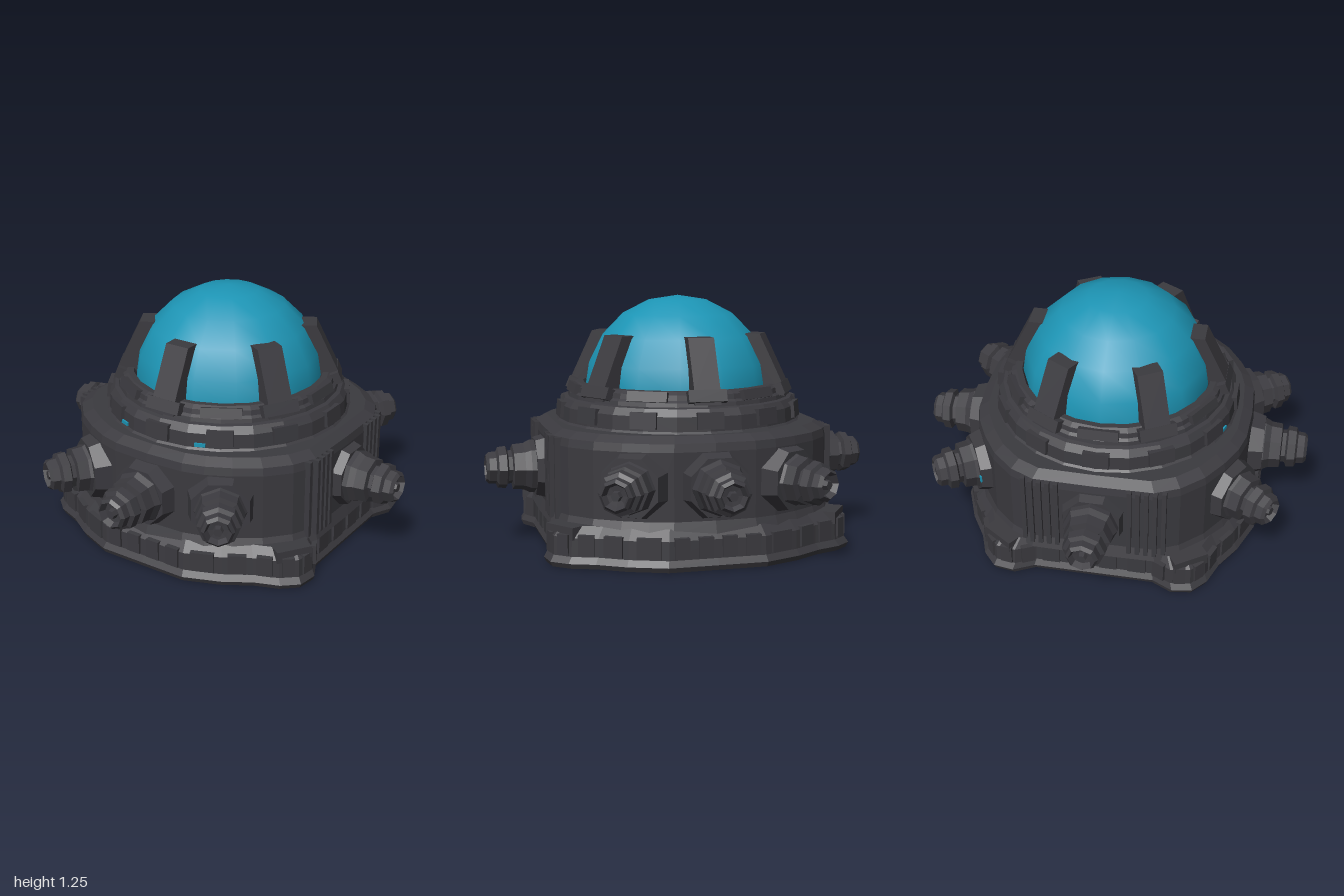
import * as THREE from 'three';

const dark = new THREE.MeshStandardMaterial({ color: 0x3b3a3f, flatShading: true });
dark.name = 'dark metal';
const glass = new THREE.MeshStandardMaterial({ color: 0x1d95b5 });
glass.name = 'blue glass';

function add(parent, name, geometry, material = dark) {
  const mesh = new THREE.Mesh(geometry, material);
  mesh.name = name;
  parent.add(mesh);
  return mesh;
}

// Spoke: a group whose local +x points outward at the given angle (from +x toward +z)
function spoke(parent, name, degrees) {
  const g = new THREE.Group();
  g.name = name;
  g.rotation.y = -THREE.MathUtils.degToRad(degrees);
  parent.add(g);
  return g;
}

function box(parent, name, size, pos, tilt = 0, material = dark) {
  const mesh = add(parent, name, new THREE.BoxGeometry(...size), material);
  mesh.position.set(...pos);
  mesh.rotation.z = tilt;
  return mesh;
}

const lathe = (points, sides) =>
  new THREE.LatheGeometry(points.map(([r, y]) => new THREE.Vector2(r, y)), sides);

// Mirror a quadrant outline (from the x axis to the z axis) into a closed loop
function mirrorOutline(q) {
  const back = q.slice(0, -1).reverse().map(([x, z]) => [-x, z]);
  const half = [...q, ...back];
  return [...half, ...half.slice(1, -1).reverse().map(([x, z]) => [x, -z])];
}

// Stack scaled copies of an outline, with end caps
function loft(outline, levels) {
  const n = outline.length, pos = [], idx = [];
  for (const [y, s] of levels) for (const [x, z] of outline) pos.push(x * s, y, z * s);
  const bottom = pos.length / 3, top = bottom + 1, last = (levels.length - 1) * n;
  pos.push(0, levels[0][0], 0, 0, levels[levels.length - 1][0], 0);
  for (let i = 0; i < n; i++) {
    const j = (i + 1) % n;
    for (let k = 0; k < last; k += n) idx.push(k + i, k + n + i, k + j, k + j, k + n + i, k + n + j);
    idx.push(bottom, i, j, top, last + j, last + i);
  }
  const g = new THREE.BufferGeometry();
  g.setAttribute('position', new THREE.Float32BufferAttribute(pos, 3));
  g.setIndex(idx);
  g.computeVertexNormals();
  return g;
}

const baseOutline = mirrorOutline([[0.71, 0], [0.71, 0.3], [0.76, 0.4], [0.745, 0.5],
  [0.67, 0.565], [0.55, 0.61], [0.42, 0.69], [0.24, 0.76], [0, 0.76]]);
const bodyOutline = mirrorOutline([[0.71, 0], [0.705, 0.3], [0.65, 0.42], [0.55, 0.53],
  [0.43, 0.61], [0.31, 0.67], [0.2, 0.7], [0, 0.71]]);

function buildBase(root) {
  add(root, 'base', loft(baseOutline, [[0.005, 1], [0.03, 1.015], [0.06, 0.99], [0.15, 0.985], [0.2, 0.93]]));
  // Raised blocks along every edge of the base
  baseOutline.forEach(([x, z], i) => {
    const [x2, z2] = baseOutline[(i + 1) % baseOutline.length];
    const len = Math.hypot(x2 - x, z2 - z), angle = -Math.atan2(z2 - z, x2 - x);
    const count = len > 0.2 ? 2 : 1;
    for (let k = 0; k < count; k++) {
      const t = (k + 0.5) / count;
      const block = box(root, 'baseBlock', [len * 0.6 / count, 0.1, 0.05],
        [(x + (x2 - x) * t) * 0.97, 0.115, (z + (z2 - z) * t) * 0.97]);
      block.rotation.y = angle;
    }
  });
  // Corner feet caps
  for (const sx of [1, -1]) for (const sz of [1, -1]) {
    const cap = box(root, 'cornerCap', [0.12, 0.06, 0.18], [sx * 0.66, 0.17, sz * 0.46]);
    cap.rotation.y = sx * sz * -0.6;
  }
}

function buildBody(root) {
  add(root, 'body', loft(bodyOutline, [[0.17, 1.03], [0.23, 1], [0.56, 1], [0.6, 0.99], [0.63, 0.92]]));
  // Vertical cooling ribs on both flanks
  for (const sx of [1, -1]) for (const sz of [1, -1]) for (let i = 0; i < 5; i++)
    box(root, 'coolingRib', [0.06, 0.4, 0.022], [sx * (0.695 - (i > 3 ? 0.02 : 0)), 0.4, sz * (0.18 + i * 0.042)]);
}

function buildNozzles(root) {
  const profile = [[0.14, 0.66], [0.135, 0.78], [0.12, 0.81], [0.115, 0.865], [0.085, 0.87],
    [0.085, 0.89], [0.108, 0.90], [0.104, 0.94], [0.083, 0.95], [0.08, 0.985], [0.065, 1],
    [0.05, 0.97], [0, 0.965]];
  const tube = lathe(profile, 8).rotateZ(-Math.PI / 2);
  const flange = new THREE.CylinderGeometry(0.15, 0.175, 0.09, 8).rotateZ(-Math.PI / 2).rotateX(Math.PI / 8);
  const core = new THREE.CylinderGeometry(0.022, 0.03, 0.05, 6).rotateZ(-Math.PI / 2);
  const mounts = { 0: 0.71, 59: 0.75, 90: 0.73, 121: 0.75, 180: 0.71, 239: 0.75, 270: 0.73, 301: 0.75 };
  for (const [angle, radius] of Object.entries(mounts)) {
    const g = spoke(root, 'nozzle', Number(angle));
    g.position.y = 0.4;
    add(g, 'nozzleTube', tube);
    add(g, 'nozzleFlange', flange).position.x = radius;
    add(g, 'nozzleCore', core).position.x = 0.97;
    // One small light beside a rear nozzle
    if (angle === '239') box(g, 'nozzleLight', [0.008, 0.035, 0.018], [0.796, 0, -0.137], 0, glass);
  }
}

function buildCollar(root) {
  add(root, 'collar', lathe([[0.66, 0.6], [0.62, 0.64], [0.615, 0.71], [0.59, 0.745], [0.57, 0.75],
    [0.565, 0.77], [0.55, 0.78], [0.545, 0.805], [0.52, 0.82], [0.49, 0.82], [0.46, 0.76]], 24));
  // Plates around the collar and blocks on its rim
  for (let i = 0; i < 12; i++) {
    const g = spoke(root, 'collarSegment', i * 30);
    box(g, 'collarPlate', [0.04, 0.08, 0.13], [0.605, 0.69, 0], 0.1);
    if (i % 2 === 0) box(g, 'rimBlock', [0.06, 0.05, 0.2], [0.53, 0.79, 0], 0.3);
  }
  // Narrow glowing slits at the front
  for (const a of [69, 112])
    box(spoke(root, 'slitMount', a), 'lightSlit', [0.009, 0.018, 0.055], [0.62, 0.655, 0], 0, glass);
}

function buildDome(root) {
  add(root, 'dome', new THREE.SphereGeometry(0.49, 14, 5, 0, Math.PI * 2, 0, Math.PI / 2), glass).position.y = 0.767;
  // Six clamps gripping the dome
  const side = new THREE.Shape([[0.575, 0.76], [0.56, 0.83], [0.445, 1.07], [0.37, 1.07],
    [0.38, 1.0], [0.45, 0.78]].map(([x, y]) => new THREE.Vector2(x, y)));
  const clamp = new THREE.ExtrudeGeometry(side, { depth: 0.13, bevelEnabled: false }).translate(0, 0, -0.065);
  for (let i = 0; i < 6; i++) {
    const g = spoke(root, 'clamp', 30 + i * 60);
    add(g, 'clampArm', clamp);
    box(g, 'clampFoot', [0.08, 0.06, 0.19], [0.535, 0.79, 0], 0.4);
  }
}

export function createModel() {
  const root = new THREE.Group();
  root.name = 'domedStation';
  buildBase(root);
  buildBody(root);
  buildNozzles(root);
  buildCollar(root);
  buildDome(root);
  return root;
}
